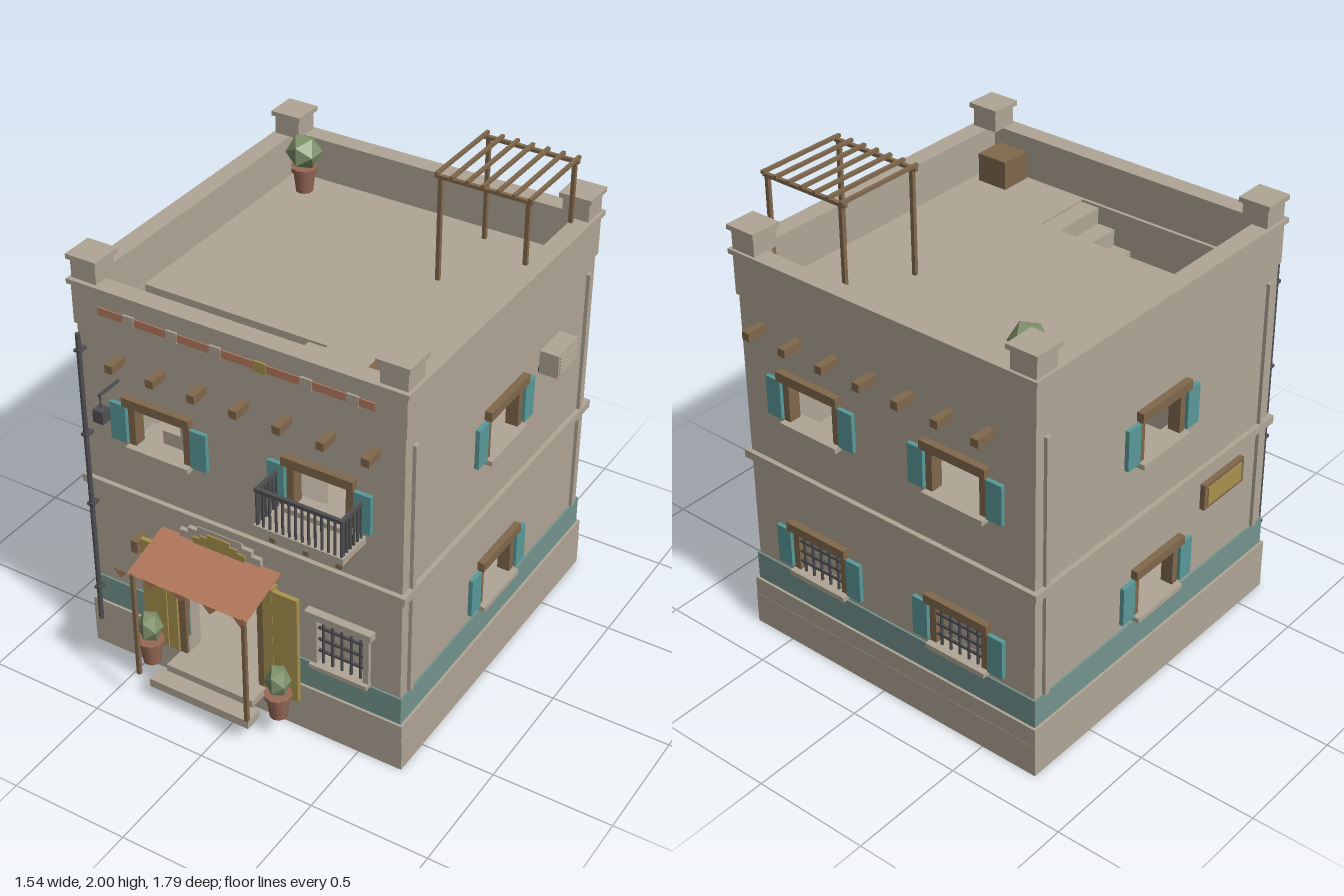
import * as THREE from 'three';

const mat = (name, color) => Object.assign(new THREE.MeshStandardMaterial({ color }), { name });

export function createModel() {
  const plaster = mat('plaster', 0xb0a696), tealBand = mat('tealBand', 0x75958f), teal = mat('shutterTeal', 0x5a9a9a);
  const wood = mat('wood', 0x80684c), yellow = mat('ochre', 0xa8924e), clay = mat('terracotta', 0xb87c60);
  const potClay = mat('potClay', 0x966a55), iron = mat('iron', 0x505054), leaf = mat('foliage', 0x82946c);
  const cloth = mat('canopyCloth', 0xb0765a);
  leaf.flatShading = true;
  cloth.side = THREE.DoubleSide;

  const root = new THREE.Group();
  const add = (parent, name, geo, m, x = 0, y = 0, z = 0) => {
    const mesh = new THREE.Mesh(geo, m);
    mesh.name = name;
    mesh.position.set(x, y, z);
    parent.add(mesh);
    return mesh;
  };
  // box given by its limits
  const box = (name, m, x0, x1, y0, y1, z0, z1, parent = root) =>
    add(parent, name, new THREE.BoxGeometry(x1 - x0, y1 - y0, z1 - z0), m, (x0 + x1) / 2, (y0 + y1) / 2, (z0 + z1) / 2);
  const rod = (name, m, r, h, x, y, z, parent = root) =>
    add(parent, name, new THREE.CylinderGeometry(r, r, h, 8), m, x, y, z);
  // rectangular ring of four walls, with an optional gap in the front
  const ring = (name, m, e, y0, y1, t, gap) => {
    const x0 = -0.735 - e, x1 = 0.67 + e, z0 = -0.81 - e, z1 = 0.645 + e;
    box(name, m, x0, x1, y0, y1, z0, z0 + t);
    box(name, m, x0, x0 + t, y0, y1, z0 + t, z1 - t);
    box(name, m, x1 - t, x1, y0, y1, z0 + t, z1 - t);
    if (gap) {
      box(name, m, x0, gap[0], y0, y1, z1 - t, z1);
      box(name, m, gap[1], x1, y0, y1, z1 - t, z1);
    } else box(name, m, x0, x1, y0, y1, z1 - t, z1);
  };
  // flat panel with rectangular holes [x0, x1, y0, y1]
  const panel = (x0, x1, y0, y1, holes, depth) => {
    const rect = (P, a, b, c, d) => {
      const p = new P();
      p.moveTo(a, c); p.lineTo(b, c); p.lineTo(b, d); p.lineTo(a, d); p.closePath();
      return p;
    };
    const s = rect(THREE.Shape, x0, x1, y0, y1);
    for (const h of holes) s.holes.push(rect(THREE.Path, ...h));
    return new THREE.ExtrudeGeometry(s, { depth, bevelEnabled: false });
  };

  // walls
  const T = 0.06, door = [-0.285, 0.05];
  const hole = (c, y0, y1) => [c - 0.14, c + 0.14, y0, y1];
  const backX = [-0.38, 0.325], up = [1.06, 1.245], upSide = [1.075, 1.265], low = [0.37, 0.56], sideZ = -0.085;
  add(root, 'frontWall', panel(-0.735, 0.67, 0.1, 1.7, [[...door, 0.14, 0.66], hole(-0.38, ...up), hole(0.325, ...up),
    [0.29, 0.54, 0.36, 0.585]], T), plaster, 0, 0, 0.645 - T);
  add(root, 'backWall', panel(-0.735, 0.67, 0.1, 1.7, backX.flatMap(x => [hole(x, ...up), hole(x, ...low)]), T), plaster, 0, 0, -0.81);
  for (const x of [-0.735, 0.67 - T])
    add(root, 'sideWall', panel(-0.645 + T, 0.81 - T, 0.1, 1.7, [hole(-sideZ, ...upSide), hole(-sideZ, ...low)], T), plaster, x)
      .rotation.y = Math.PI / 2;

  // plinth, painted band, belt course, parapet and cap
  box('plinth', plaster, -0.755, 0.69, 0, 0.14, -0.83, 0.662);
  ring('plinthTop', plaster, 0.019, 0.14, 0.22, 0.06, door);
  ring('paintedBand', tealBand, 0.008, 0.22, 0.345, 0.03, door);
  ring('beltCourse', plaster, 0.02, 0.805, 0.84, 0.04);
  ring('parapet', plaster, 0.008, 1.53, 1.7, 0.065);
  ring('parapetCap', plaster, 0.02, 1.7, 1.72, 0.08);
  for (const x of [-0.687, 0.62]) for (const z of [-0.762, 0.59]) {
    box('cornerPost', plaster, x - 0.056, x + 0.056, 1.72, 1.8, z - 0.056, z + 0.056);
    box('cornerPostCap', plaster, x - 0.068, x + 0.068, 1.8, 1.82, z - 0.068, z + 0.068);
  }
  for (const x of [-0.74, 0.675]) for (const z of [-0.755, 0.585]) for (const [a, b] of [[0.345, 0.805], [0.84, 1.47]])
    box('cornerStrip', plaster, x - 0.01, x + 0.01, a, b, z - 0.012, z + 0.012);

  // floors and the inner stair with its roof opening
  box('upperFloor', plaster, -0.68, 0.615, 0.79, 0.83, -0.755, 0.59);
  add(root, 'roof', panel(-0.68, 0.615, -0.59, 0.755, [[-0.67, 0.145, -0.57, -0.31]], 0.04), plaster, 0, 1.5).rotation.x = -Math.PI / 2;
  for (let i = 0; i < 10; i++)
    box('stairStep', plaster, -0.67 + i * 0.0815, -0.67 + (i + 1) * 0.0815, 0.83, 0.83 + (i + 1) * 0.07, 0.31, 0.57);

  // windows, built facing +z with the wall face at z = 0
  const bars = (g, w, y0, y1) => {
    for (let i = -2; i <= 2; i++) rod('windowBar', iron, 0.006, y1 - y0, i * w / 5, (y0 + y1) / 2, 0, g);
    for (let i = 1; i <= 3; i++) {
      const y = y0 + (y1 - y0) * i / 4;
      box('windowCrossBar', iron, -w / 2, w / 2, y - 0.005, y + 0.005, -0.005, 0.005, g);
    }
    box('windowBacking', plaster, -w / 2 - 0.03, w / 2 + 0.03, y0, y1, -T, -T + 0.008, g);
  };
  const windowAt = (x, z, turn, [y0, y1], grille) => {
    const g = new THREE.Group();
    g.name = 'window';
    g.position.set(x, 0, z);
    g.rotation.y = turn;
    root.add(g);
    box('lintel', wood, -0.152, 0.152, y1 - 0.002, y1 + 0.037, -0.04, 0.03, g);
    box('sill', plaster, -0.142, 0.142, y0 - 0.018, y0 + 0.004, -T, 0.035, g);
    for (const s of [-1, 1]) {
      box('frameLeg', wood, s * 0.125 - 0.015, s * 0.125 + 0.015, y0, y1, -0.045, 0.008, g);
      box('shutter', teal, s * 0.182 - 0.036, s * 0.182 + 0.036, y0 + 0.008, y1 - 0.01, 0, 0.018, g);
    }
    if (grille) bars(g, 0.22, y0, y1);
  };
  for (const x of backX) {
    windowAt(x, 0.645, 0, up);
    windowAt(x, -0.81, Math.PI, up);
    windowAt(x, -0.81, Math.PI, low, true);
  }
  for (const span of [upSide, low]) {
    windowAt(0.67, sideZ, Math.PI / 2, span);
    windowAt(-0.735, sideZ, -Math.PI / 2, span);
  }

  // barred stone-framed window beside the door
  const stone = new THREE.Group();
  stone.name = 'barredWindow';
  stone.position.set(0.415, 0, 0.645);
  root.add(stone);
  box('stoneLintel', plaster, -0.145, 0.145, 0.585, 0.615, -0.04, 0.035, stone);
  box('stoneSill', plaster, -0.128, 0.128, 0.343, 0.362, -0.04, 0.035, stone);
  for (const s of [-1, 1]) box('stoneJamb', plaster, s * 0.114 - 0.012, s * 0.114 + 0.012, 0.36, 0.585, -0.04, 0.018, stone);
  bars(stone, 0.205, 0.362, 0.585);

  // projecting roof beams front and back
  for (let i = 0; i < 7; i++) {
    const x = -0.54 + i * 0.1825;
    box('beamEnd', wood, x - 0.017, x + 0.017, 1.413, 1.447, 0.6, 0.725);
    box('beamEnd', wood, x - 0.017, x + 0.017, 1.413, 1.447, -0.9, -0.77);
  }

  // painted frieze
  box('friezeStrip', clay, -0.625, 0.555, 1.604, 1.636, 0.65, 0.658);
  for (let i = 0; i < 6; i++) {
    const x = -0.485 + i * 0.19;
    box('friezeTile', i === 3 ? yellow : plaster, x - 0.024, x + 0.024, 1.598, 1.642, 0.65, 0.662);
  }

  // door, mirrored about its middle
  const mid = -0.1175;
  for (const s of [-1, 1]) {
    const at = (name, m, c, hw, y0, y1, z0, z1) => box(name, m, mid + s * c - hw, mid + s * c + hw, y0, y1, z0, z1);
    at('doorLeaf', yellow, 0.305, 0.055, 0.15, 0.65, 0.668, 0.688);
    at('doorPilaster', yellow, 0.225, 0.022, 0.15, 0.655, 0.645, 0.685);
    at('doorJamb', wood, 0.186, 0.016, 0.14, 0.66, 0.6, 0.675);
    at('canopyPost', wood, 0.253, 0.008, 0.155, 0.657, 0.872, 0.888);
  }
  box('doorLintel', wood, -0.34, 0.105, 0.64, 0.675, 0.62, 0.675);
  box('lowerStep', plaster, -0.35, 0.115, 0.07, 0.108, 0.765, 0.845);
  box('upperStep', plaster, -0.32, 0.085, 0.108, 0.14, 0.64, 0.77);
  [[0.185, 0.69, 0.755], [0.145, 0.755, 0.778], [0.1, 0.778, 0.8]].forEach(([w, a, b]) =>
    box('steppedCrest', plaster, mid - w, mid + w, a, b, 0.64, 0.664));
  [[0.118, 0.7, 0.75], [0.085, 0.75, 0.765], [0.05, 0.765, 0.782]].forEach(([w, a, b]) =>
    box('crestInlay', yellow, mid - w, mid + w, a, b, 0.66, 0.671));

  // cloth canopy with pennants
  const slope = Math.atan2(0.07, 0.235);
  add(root, 'canopy', new THREE.PlaneGeometry(0.545, Math.hypot(0.07, 0.235)), cloth, mid, 0.69, 0.7725)
    .rotation.x = -Math.PI / 2 + slope;
  for (let i = 0; i < 5; i++) {
    const s = new THREE.Shape([[-0.033, 0], [0, -0.036], [0.033, 0]].map(p => new THREE.Vector2(...p)));
    add(root, 'pennant', new THREE.ShapeGeometry(s), cloth, -0.42 + i * 0.1365, 0.657, 0.89);
  }

  // balcony
  box('balconyDeck', plaster, 0.135, 0.515, 1.012, 1.042, 0.645, 0.8);
  for (const x of [0.18, 0.325, 0.465]) box('balconyBracket', wood, x - 0.012, x + 0.012, 0.945, 1.012, 0.645, 0.75);
  box('balconyRail', iron, 0.14, 0.51, 1.19, 1.205, 0.782, 0.797);
  for (const x of [0.147, 0.503]) {
    box('balconySideRail', iron, x - 0.007, x + 0.007, 1.19, 1.205, 0.645, 0.785);
    for (let i = 0; i < 6; i++) rod('baluster', iron, 0.006, 0.15, x, 1.117, 0.66 + i * 0.024);
  }
  for (let i = 0; i < 14; i++) rod('baluster', iron, 0.0055, 0.15, 0.147 + i * 0.0274, 1.117, 0.79);

  // drainpipe and hanging lantern
  rod('drainpipe', iron, 0.01, 1.365, -0.713, 0.82, 0.675);
  for (const y of [0.3, 0.72, 1.05, 1.43]) box('pipeClip', iron, -0.727, -0.699, y - 0.006, y + 0.006, 0.645, 0.688);
  box('lanternArm', iron, -0.565, -0.555, 1.327, 1.337, 0.645, 0.765);
  rod('lanternRod', iron, 0.004, 0.06, -0.56, 1.3, 0.758);
  box('lantern', iron, -0.583, -0.537, 1.217, 1.272, 0.735, 0.781);
  box('doorLamp', wood, -0.507, -0.475, 0.59, 0.645, 0.645, 0.71);

  // wall-hung cooling unit
  box('coolingUnit', plaster, 0.69, 0.77, 1.255, 1.355, -0.49, -0.325);
  for (let i = 0; i < 6; i++) box('coolingSlat', plaster, 0.768, 0.775, 1.267 + i * 0.014, 1.274 + i * 0.014, -0.48, -0.335);
  for (const z of [-0.455, -0.365]) box('coolingBracket', iron, 0.66, 0.755, 1.237, 1.255, z - 0.006, z + 0.006);

  // framed board on the side wall
  box('boardFrame', wood, -0.757, -0.73, 0.635, 0.75, 0.2, 0.465);
  box('boardPanel', yellow, -0.762, -0.755, 0.652, 0.733, 0.22, 0.445);

  // potted plants
  const plant = (x, y, z, r) => {
    const g = new THREE.Group();
    g.name = 'pottedPlant';
    g.position.set(x, y, z);
    root.add(g);
    add(g, 'pot', new THREE.CylinderGeometry(0.048, 0.036, 0.1, 10), potClay, 0, 0.05, 0);
    add(g, 'potRim', new THREE.CylinderGeometry(0.056, 0.054, 0.02, 10), potClay, 0, 0.1, 0);
    add(g, 'foliage', new THREE.IcosahedronGeometry(1, 0), leaf, 0, 0.175, 0).scale.set(r, 0.076, r);
  };
  plant(-0.41, 0.105, 0.745, 0.053);
  plant(0.19, 0.105, 0.745, 0.053);
  plant(-0.56, 1.54, -0.635, 0.075);

  // rooftop crate and pergola
  box('crate', wood, 0.435, 0.573, 1.54, 1.66, 0.44, 0.575);
  for (const z of [-0.675, -0.305]) {
    for (const x of [0.253, 0.617]) box('pergolaPost', wood, x - 0.008, x + 0.008, 1.54, 1.975, z - 0.008, z + 0.008);
    box('pergolaBeam', wood, 0.23, 0.635, 1.973, 1.987, z - 0.008, z + 0.008);
  }
  for (let i = 0; i < 7; i++)
    box('pergolaSlat', wood, 0.233 + i * 0.0645, 0.247 + i * 0.0645, 1.987, 2, -0.692, -0.29);

  return root;
}
